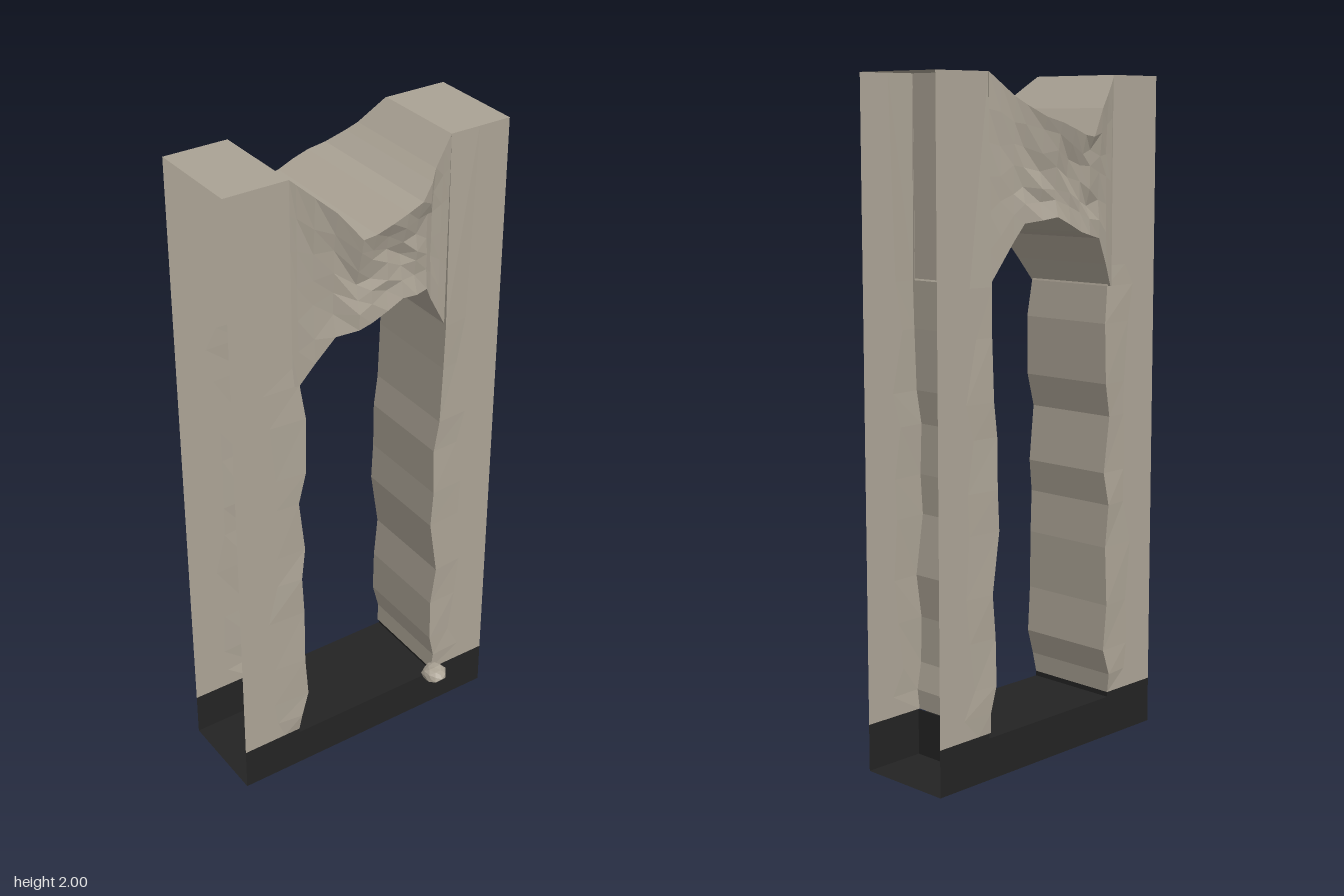
import * as THREE from 'three';

const ZF = 0.13, ZB = -0.17;

// Skins a list of cross-sections (each a list of [x, y, z]) with quads
function loft(rows) {
  const pos = [];
  for (let i = 0; i < rows.length - 1; i++) {
    for (let j = 0; j < rows[i].length - 1; j++) {
      const a = rows[i][j], b = rows[i][j + 1], c = rows[i + 1][j + 1], d = rows[i + 1][j];
      pos.push(...a, ...d, ...b, ...b, ...d, ...c);
    }
  }
  const geo = new THREE.BufferGeometry();
  geo.setAttribute('position', new THREE.Float32BufferAttribute(pos, 3));
  geo.computeVertexNormals();
  return geo;
}

// Piecewise linear curve through [x, value] points
function sample(points, x) {
  if (x <= points[0][0]) return points[0][1];
  for (let i = 1; i < points.length; i++) {
    const [x0, v0] = points[i - 1], [x1, v1] = points[i];
    if (x <= x1) return v0 + (v1 - v0) * (x - x0) / (x1 - x0);
  }
  return points[points.length - 1][1];
}

export function createModel() {
  const group = new THREE.Group();
  const stone = new THREE.MeshStandardMaterial({ color: 0xaaa294 });
  const black = new THREE.MeshStandardMaterial({ color: 0x232323 });
  for (const m of [stone, black]) {
    m.side = THREE.DoubleSide;
    m.flatShading = true;
  }
  let seed = 7;
  const rand = () => (seed = (seed * 16807) % 2147483647) / 2147483647;
  const add = (name, geo, mat) => {
    const mesh = new THREE.Mesh(geo, mat);
    mesh.name = name;
    group.add(mesh);
    return mesh;
  };

  // U-shaped pillar section, open on its outer side
  const section = (s, y, inner, mid, bulge) => [
    [s * 0.45, y, ZF], [s * mid, y, ZF], [s * inner, y, ZF + bulge],
    [s * inner, y, ZB - bulge], [s * mid, y, ZB], [s * 0.45, y, ZB],
  ];
  const edges = {
    left: [[0.14, 0.25], [0.2, 0.254], [0.28, 0.235], [0.42, 0.235], [0.55, 0.25], [0.73, 0.223],
      [0.85, 0.23], [1.0, 0.228], [1.1, 0.243], [1.28, 0.25], [1.42, 0.252], [2, 0.255]],
    right: [[0.14, 0.255], [0.2, 0.25], [0.28, 0.225], [0.42, 0.236], [0.6, 0.233], [0.73, 0.242],
      [0.83, 0.226], [1.0, 0.246], [1.1, 0.224], [1.28, 0.22], [1.39, 0.235], [1.45, 0.255], [2, 0.255]],
  };
  for (const [side, s] of [['left', 1], ['right', -1]]) {
    const edge = edges[side];
    const rows = edge.map(([y, x], i) => {
      const rough = i > 0 && y < 1.44;
      return section(s, y, x, 0.3 + rand() * 0.06, rough ? 0.002 + rand() * 0.009 : 0);
    });
    const foot = [section(s, 0, 0.255, 0.35, 0), section(s, 0.14, 0.255, 0.35, 0)];
    if (s < 0) { rows.reverse(); foot.reverse(); }
    add(side + 'Pillar', loft(rows), stone);
    add(side + 'PillarFoot', loft(foot), black);

    // flat top of the pillar
    const xs = s > 0 ? [0.255, 0.45] : [-0.45, -0.255];
    add(side + 'PillarTop', loft(xs.map(x => [[x, 2, ZF], [x, 2, ZB]])), stone);
  }

  // Base slab between the pillars and the underside
  add('baseSlab', loft([-0.255, 0.255].map(x => [
    [x, 0, ZF], [x, 0.125, ZF], [x, 0.125, ZB], [x, 0, ZB]])), black);
  add('baseUnderside', loft([-0.45, 0.45].map(x => [[x, 0, ZB], [x, 0, ZF]])), black);

  // Bridge: closed rings lofted along x, swelling in the middle
  const top = [[-0.255, 2], [-0.145, 1.9], [-0.09, 1.825], [-0.05, 1.83], [0.05, 1.865],
    [0.1, 1.88], [0.17, 1.925], [0.255, 2]];
  const under = [[-0.24, 1.39], [-0.155, 1.535], [-0.06, 1.555], [0.05, 1.605], [0.15, 1.59], [0.255, 1.42]];
  const front = [[-0.255, 0.13], [-0.24, 0.14], [-0.16, 0.19], [-0.09, 0.225], [0, 0.23],
    [0.09, 0.228], [0.155, 0.19], [0.18, 0.165], [0.255, 0.13]];
  const back = [[-0.255, -0.172], [-0.23, -0.19], [-0.15, -0.225], [-0.09, -0.248], [0, -0.257],
    [0.05, -0.255], [0.1, -0.243], [0.18, -0.2], [0.255, -0.172]];
  const stations = [-0.255, -0.24, -0.2, -0.15, -0.09, -0.05, 0, 0.05, 0.1, 0.15, 0.18, 0.22, 0.255];
  const steps = 6;
  const rings = stations.map(x => {
    const y0 = sample(under, x), y1 = sample(top, x);
    const wall = (curve, rest) => {
      const out = [];
      for (let k = 0; k <= steps; k++) {
        const v = k / steps;
        const inside = k > 0 && k < steps;
        const keep = 1 - 0.2 * (1 - v) - 0.22 * Math.sin(Math.PI * v) + (inside ? (rand() - 0.5) * 0.2 : 0);
        const y = y0 + (y1 - y0) * v + (inside ? (rand() - 0.5) * 0.025 : 0);
        out.push([x, y, rest + (sample(curve, x) - rest) * keep]);
      }
      return out;
    };
    const ring = [...wall(front, ZF), ...wall(back, ZB).reverse()];
    ring.push(ring[0]);
    return ring;
  });
  add('bridge', loft(rings), stone);

  // Small loose stone in front of the opening
  const geo = new THREE.IcosahedronGeometry(1, 1);
  const p = geo.attributes.position;
  for (let i = 0; i < p.count; i++) {
    const x = p.getX(i), y = p.getY(i), z = p.getZ(i);
    const r = 0.93 + 0.1 * Math.sin(7 * x + 5 * y + 9 * z);
    p.setXYZ(i, x * r, y * r, z * r);
  }
  geo.computeVertexNormals();
  const pebble = add('looseStone', geo, stone);
  pebble.scale.set(0.042, 0.025, 0.042);
  pebble.position.set(0.204, 0.205, 0.212);
  return group;
}
